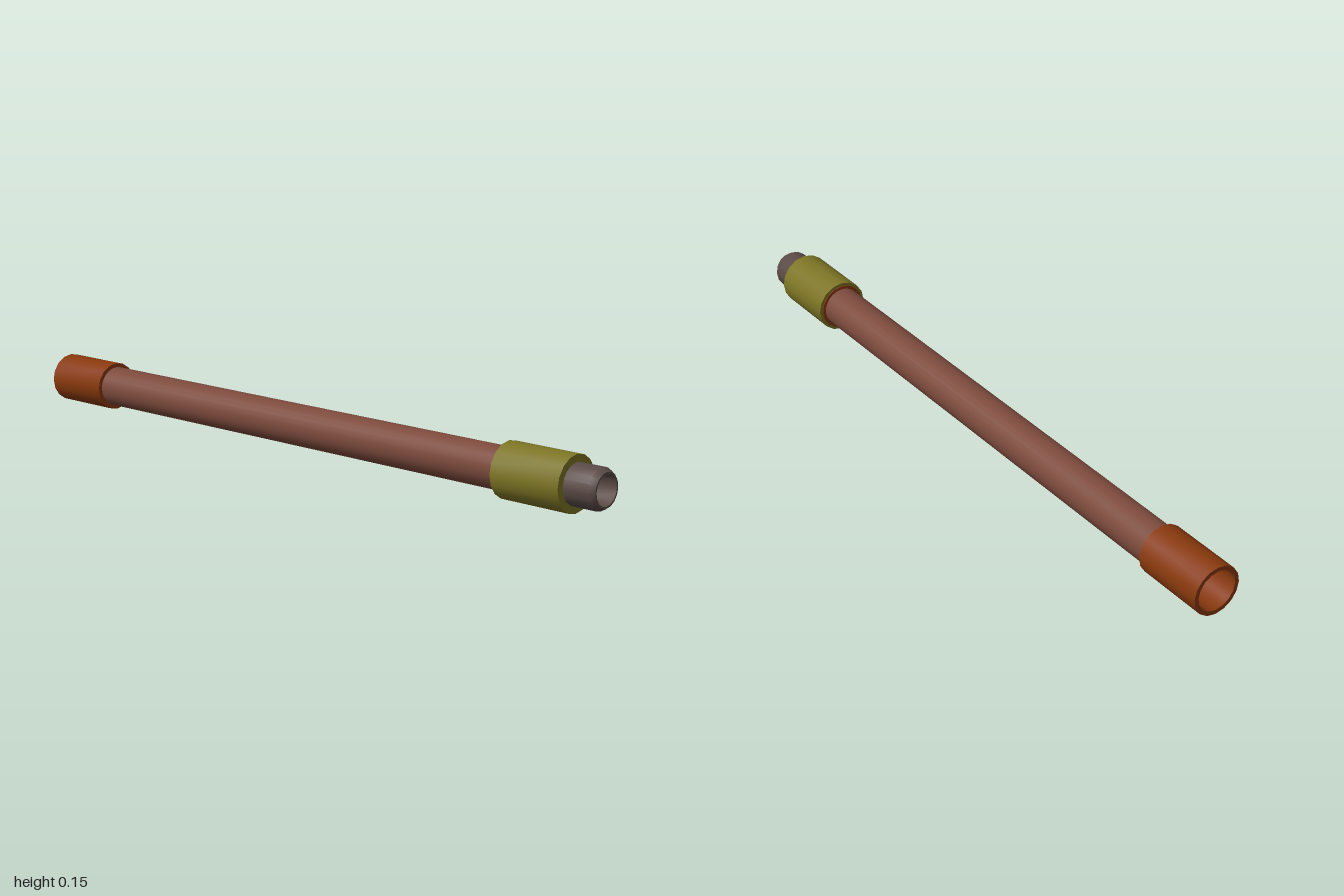
import * as THREE from 'three';
import { toCreasedNormals } from 'three/addons/utils/BufferGeometryUtils.js';

const paint = (name, color) => {
  const m = new THREE.MeshStandardMaterial({ color });
  m.name = name;
  return m;
};

export function createModel() {
  const group = new THREE.Group();
  group.name = 'pipe';
  const copper = paint('brown copper', 0x7c4a3c);
  const orange = paint('burnt orange', 0x88390d);
  const olive = paint('olive brass', 0x7c7424);
  const steel = paint('dark grey steel', 0x5a4a46);
  const black = paint('black', 0x0e0e0e);

  // Profile pairs are [position along x, radius]; outer wall runs towards +x.
  const turned = (name, profile, material, sides = 16) => {
    const points = profile.map(([x, r]) => new THREE.Vector2(r, x));
    const geometry = new THREE.LatheGeometry(points, sides).rotateZ(-Math.PI / 2);
    const mesh = new THREE.Mesh(toCreasedNormals(geometry, 0.55), material);
    mesh.name = name;
    mesh.position.y = 0.075;
    group.add(mesh);
  };

  // Long tube between the two fittings
  turned('tube', [[-0.82, 0.057], [0.72, 0.057]], copper, 24);

  // Open socket, closed off deep inside
  turned('socket', [
    [-0.79, 0.056], [-0.79, 0.056], [-0.8, 0.056], [-0.8, 0.056],
  ].slice(0, 1).concat([
    [-1, 0.057], [-1, 0.069], [-0.79, 0.069], [-0.79, 0.056],
  ]), orange);
  turned('socketFloor', [[-0.82, 0.057], [-0.82, 0]].reverse(), black);

  // Coupling nut with a thin seal at its rear face
  turned('couplingNut', [
    [0.7, 0.056], [0.7, 0.075], [0.91, 0.075], [0.91, 0.05],
  ], olive);
  turned('seal', [[0.697, 0.056], [0.697, 0.066], [0.71, 0.066]], orange);

  // Hollow nozzle with a bevelled lip
  turned('nozzle', [
    [0.9, 0.055], [0.985, 0.055], [1, 0.046], [1, 0.041], [0.92, 0.041],
  ], steel);
  turned('bore', [[0.925, 0.042], [0.925, 0]], black);

  return group;
}
